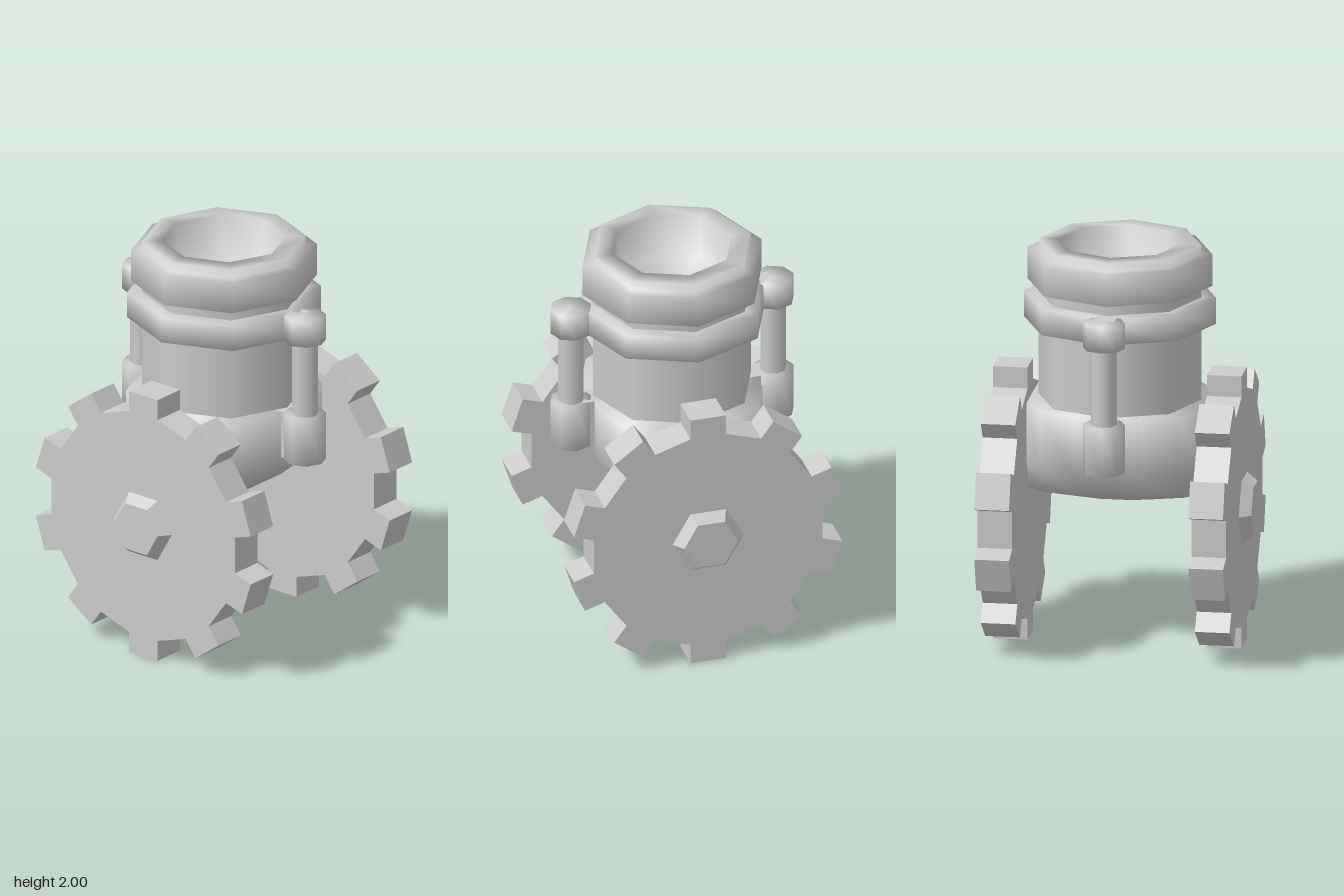
import * as THREE from 'three';

const smooth = new THREE.MeshStandardMaterial({ color: 0xcccccc, side: THREE.DoubleSide });
const flat = new THREE.MeshStandardMaterial({ color: 0xcccccc, flatShading: true });

function add(parent, name, geometry, material = smooth) {
  const mesh = new THREE.Mesh(geometry, material);
  mesh.name = name;
  parent.add(mesh);
  return mesh;
}

// Eight-sided turned part from [radius, y] pairs
function turned(profile) {
  return new THREE.LatheGeometry(profile.map(([r, y]) => new THREE.Vector2(r, y)), 8);
}

// Toothed wheel outline: ten straight-sided teeth
function gearGeometry(thickness) {
  const root = 0.58, tip = 0.685, half = 0.09, teeth = 10;
  const points = [];
  for (let i = 0; i < teeth; i++) {
    const a = Math.PI / 2 + (i / teeth) * Math.PI * 2;
    for (const [r, s] of [[root, -half], [tip, -half], [tip, half], [root, half]]) {
      points.push(new THREE.Vector2(
        r * Math.cos(a) - s * Math.sin(a),
        r * Math.sin(a) + s * Math.cos(a)));
    }
  }
  return new THREE.ExtrudeGeometry(new THREE.Shape(points), { depth: thickness, bevelEnabled: false });
}

// Lower housing: stacked twelve-point sections that narrow sideways at the bottom
function housingGeometry() {
  const quarter = [[0.41, 0.16], [0.335, 0.34], [0.19, 0.43]];
  const outline = [
    ...quarter,
    ...quarter.map(([x, z]) => [-x, z]).reverse(),
    ...quarter.map(([x, z]) => [-x, -z]),
    ...quarter.map(([x, z]) => [x, -z]).reverse(),
  ];
  // [y, x scale, z scale]
  const rows = [[1.22, 0, 0], [1.22, 1, 1], [0.93, 1, 1], [0.775, 0.56, 1], [0.74, 0.35, 0.5], [0.74, 0, 0]];
  const n = outline.length;
  const positions = [], index = [];
  rows.forEach(([y, sx, sz], r) => {
    outline.forEach(([x, z], i) => {
      positions.push(x * sx, y, z * sz);
      if (r === rows.length - 1) return;
      const j = (i + 1) % n;
      const a = r * n + i, b = r * n + j, c = a + n, d = b + n;
      index.push(a, b, c, b, d, c);
    });
  });
  const g = new THREE.BufferGeometry();
  g.setAttribute('position', new THREE.Float32BufferAttribute(positions, 3));
  g.setIndex(index);
  g.computeVertexNormals();
  return g;
}

export function createModel() {
  const model = new THREE.Group();
  model.name = 'wheeledBarrel';

  // Barrel, clamp ring and hollow mouth
  add(model, 'housing', housingGeometry());
  add(model, 'barrel', turned([[0.4, 1.2], [0.4, 1.8]]));
  add(model, 'clampRing', turned([[0.39, 1.605], [0.472, 1.605], [0.472, 1.735], [0.39, 1.735]]));
  add(model, 'mouthRim', turned([
    [0.39, 1.795], [0.453, 1.795], [0.453, 1.955], [0.397, 1.955],
    [0.397, 2], [0.3, 2], [0.28, 1.78], [0, 1.75]]));

  // Side rods held between an upper and a lower lug
  for (const side of [1, -1]) {
    const brace = new THREE.Group();
    brace.name = side > 0 ? 'leftBrace' : 'rightBrace';
    model.add(brace);
    const x = side * 0.512;
    const lug = (y0, y1) => turned([[0, y0], [0.103, y0], [0.103, y1], [0, y1]]);
    add(brace, 'upperLug', lug(1.605, 1.735)).position.x = x;
    add(brace, 'lowerLug', lug(0.98, 1.22)).position.x = x;
    add(brace, 'rod', new THREE.CylinderGeometry(0.064, 0.064, 0.42, 8, 1, true)).position.set(x, 1.41, 0);
    add(brace, 'upperWeb', new THREE.BoxGeometry(0.12, 0.13, 0.1)).position.set(side * 0.44, 1.67, 0);
    add(brace, 'lowerWeb', new THREE.BoxGeometry(0.14, 0.24, 0.12)).position.set(side * 0.43, 1.1, 0);
  }

  // Front and back wheels with hexagonal hub caps
  for (const [name, turn] of [['frontWheel', 0], ['backWheel', Math.PI]]) {
    const wheel = new THREE.Group();
    wheel.name = name;
    wheel.position.y = 0.685;
    wheel.rotation.y = turn;
    model.add(wheel);
    add(wheel, 'gear', gearGeometry(0.17), flat).position.z = 0.44;
    const hub = new THREE.CylinderGeometry(0.137, 0.18, 0.055, 6);
    hub.rotateY(Math.PI / 2).rotateX(Math.PI / 2);
    add(wheel, 'hubCap', hub, flat).position.z = 0.6375;
  }
  return model;
}
